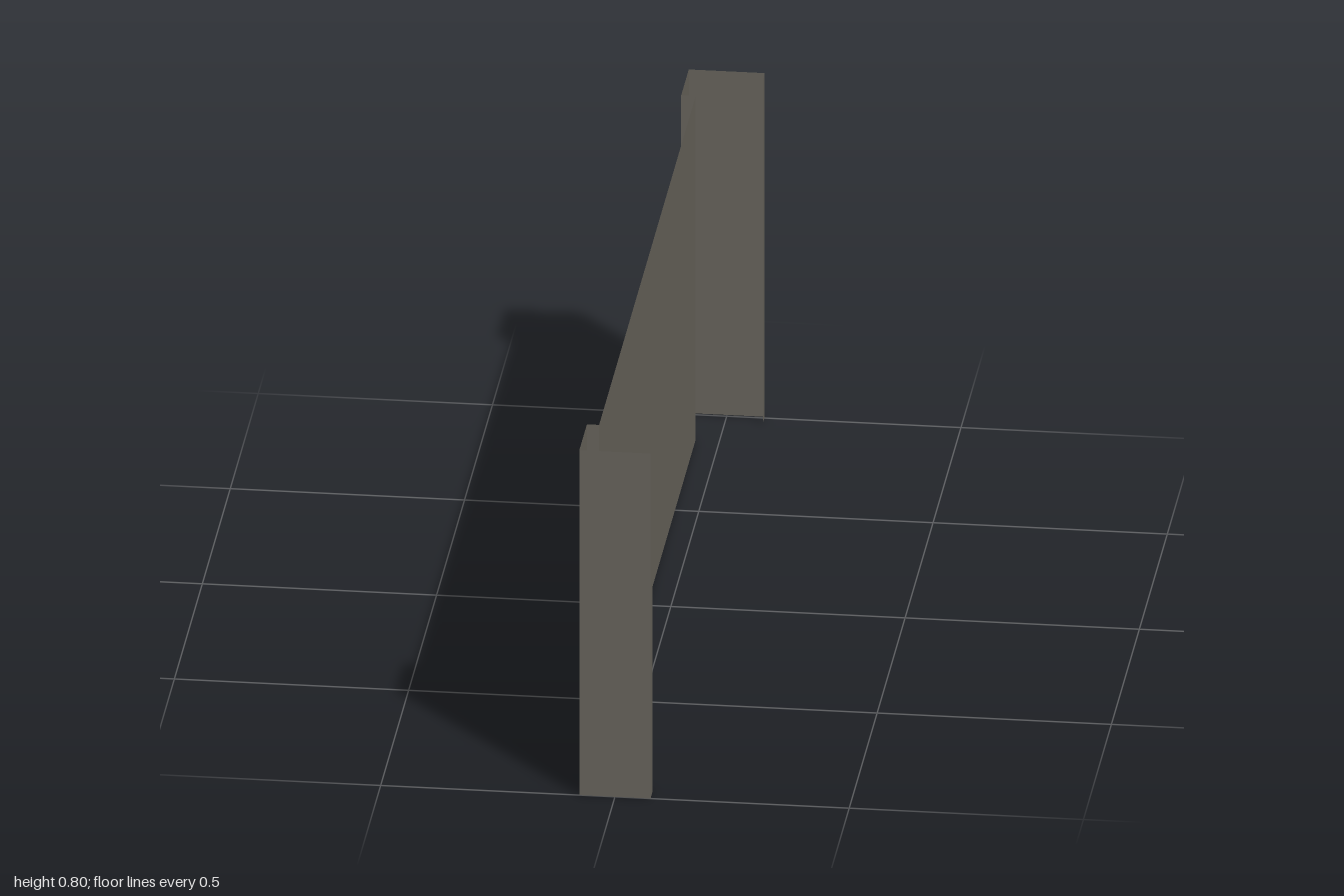
import * as THREE from 'three';

// Upright folded sheet: a plan path of [x, z] points raised from y0 to y1
function foldedSheet(name, path, y0, y1, material) {
  const positions = [];
  for (let i = 0; i < path.length - 1; i++) {
    const [ax, az] = path[i];
    const [bx, bz] = path[i + 1];
    positions.push(
      ax, y0, az, bx, y0, bz, bx, y1, bz,
      ax, y0, az, bx, y1, bz, ax, y1, az
    );
  }
  const geometry = new THREE.BufferGeometry();
  geometry.setAttribute('position', new THREE.Float32BufferAttribute(positions, 3));
  geometry.computeVertexNormals(); // separate corners keep the folds sharp
  const mesh = new THREE.Mesh(geometry, material);
  mesh.name = name;
  return mesh;
}

export function createModel() {
  const group = new THREE.Group();
  group.name = 'foldedPanel';

  const steel = new THREE.MeshStandardMaterial({ color: 0x69655d, side: THREE.DoubleSide });
  steel.name = 'dull grey steel';

  const panelX = -0.05;  // plane of the main web
  const stepZ = 0.864;   // where the web meets the end channels

  // End channel: step out from the web, side wall, end wall, return lip
  const channel = (halfWidth, end, lip) => [
    [panelX, end * stepZ],
    [-halfWidth, end * stepZ],
    [-halfWidth, end],
    [halfWidth, end],
    [halfWidth, end * (1 - lip)],
  ];

  group.add(
    foldedSheet('mainPanel', [[panelX, stepZ], [panelX, -stepZ]], 0.003, 0.8, steel),
    foldedSheet('frontChannel', channel(0.076, 1, 0.034), 0, 0.8, steel),
    foldedSheet('backChannel', channel(0.081, -1, 0.028), 0.003, 0.8, steel)
  );
  return group;
}
